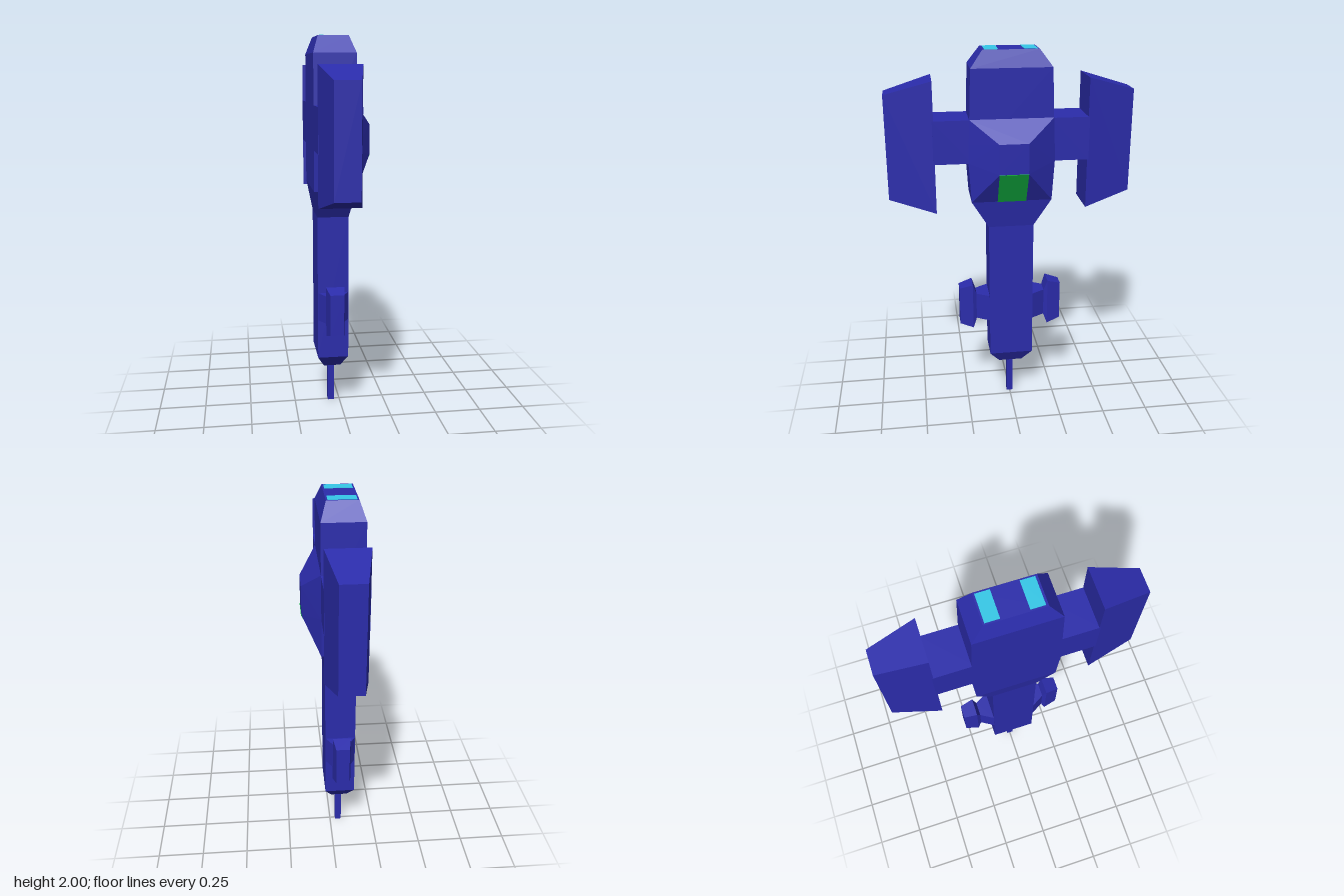
import * as THREE from 'three';
import { ConvexGeometry } from 'three/addons/geometries/ConvexGeometry.js';

const CX = -0.0475; // centre line of hull, wings and fins

const paint = (color) => new THREE.MeshStandardMaterial({ color, flatShading: true });

// Solid along z through rectangular sections [z, halfWidthX, yLow, yHigh]
function loft(sections) {
  const rings = sections.map(([z, w, lo, hi]) => [[-w, lo, z], [w, lo, z], [w, hi, z], [-w, hi, z]]);
  const pos = [];
  const quad = (a, b, c, d) => pos.push(...a, ...b, ...c, ...a, ...c, ...d);
  for (let k = 0; k < rings.length - 1; k++) {
    for (let i = 0; i < 4; i++) {
      const j = (i + 1) % 4;
      quad(rings[k][i], rings[k][j], rings[k + 1][j], rings[k + 1][i]);
    }
  }
  const first = rings[0], last = rings[rings.length - 1];
  quad(first[3], first[2], first[1], first[0]);
  quad(...last);
  const g = new THREE.BufferGeometry();
  g.setAttribute('position', new THREE.Float32BufferAttribute(pos, 3));
  g.computeVertexNormals();
  return g;
}

export function createModel() {
  const model = new THREE.Group();
  model.name = 'spaceship';
  const blue = paint(0x2b2cab), green = paint(0x12b544), cyan = paint(0x35c8e8);

  function add(name, geometry, material, parent = model) {
    const mesh = new THREE.Mesh(geometry, material);
    mesh.name = name;
    parent.add(mesh);
    return mesh;
  }

  // Hull: [y, halfX, halfZ], from nose up to the engine end
  const hullSections = [
    [0.23, 0.045, 0.065], [0.30, 0.0825, 0.12], [1.08, 0.0825, 0.12], [1.23, 0.1075, 0.21],
    [1.44, 0.1075, 0.223], [1.915, 0.1075, 0.205], [2.0, 0.0775, 0.142],
  ].map(([y, w, d]) => [y, w, -d, d]);
  add('hull', loft(hullSections).rotateX(-Math.PI / 2), blue).position.x = CX;

  // Nose probe and its tip
  add('noseProbe', new THREE.BoxGeometry(0.035, 0.24, 0.035), blue).position.set(CX, 0.122, 0);
  add('probeTip', new THREE.BoxGeometry(0.018, 0.003, 0.018), cyan).position.set(CX, 0.0015, 0);

  // Wings and fins on both sides
  for (const [side, turn] of [['front', 0], ['rear', Math.PI]]) {
    const wing = new THREE.Group();
    wing.name = side + 'Wing';
    wing.position.x = CX;
    wing.rotation.y = turn;
    model.add(wing);
    add('wingStrut', loft([[0.2, 0.1075, 1.44, 1.663], [0.4, 0.1075, 1.44, 1.663]]), blue, wing);
    add('wingPod', loft([[0.393, 0.1075, 1.178, 1.86], [0.634, 0.0625, 1.25, 1.79]]), blue, wing);
    add('noseFin', loft([
      [0.115, 0.0825, 0.515, 0.667], [0.19, 0.038, 0.515, 0.667],
      [0.21, 0.049, 0.46, 0.725], [0.283, 0.036, 0.485, 0.703],
    ]), blue, wing);

    // Glowing engine strip
    add(side + 'EngineStrip', new THREE.BoxGeometry(0.139, 0.004, 0.068), cyan)
      .position.set(CX, 2.0, turn ? -0.1 : 0.097);
  }

  // Faceted canopy on the hull's left face
  const canopyPoints = [];
  for (const s of [-1, 1]) {
    for (const [x, y, z] of [
      [0.06, 1.665, 0.215], [0.06, 1.54, 0.22], [0.06, 1.44, 0.223], [0.06, 1.23, 0.21],
      [0.15, 1.557, 0.075], [0.15, 1.4, 0.075], [0.03, 1.665, 0.19], [0.03, 1.23, 0.19],
    ]) canopyPoints.push(new THREE.Vector3(x, y, s * z));
  }
  add('canopy', new ConvexGeometry(canopyPoints), blue);

  // Window lying on the canopy's lower slope
  const windowPane = add('canopyWindow', new THREE.BoxGeometry(0.006, 0.192, 0.15), green);
  windowPane.position.set(0.105, 1.315, 0);
  windowPane.rotation.z = -Math.atan2(0.09, 0.17);

  return model;
}
